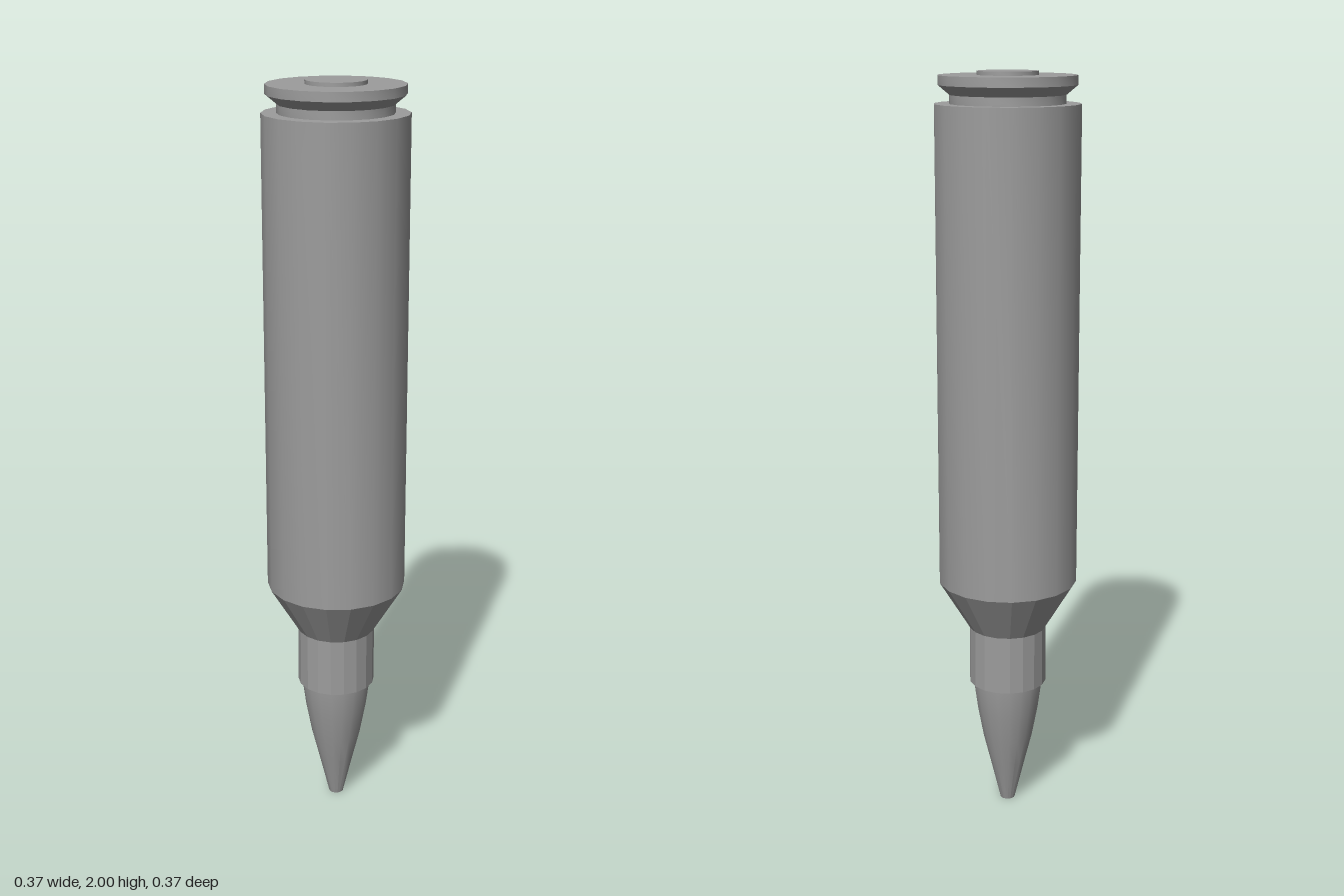
import * as THREE from 'three';
import { toCreasedNormals } from 'three/addons/utils/BufferGeometryUtils.js';

const SIDES = 18;
const smooth = new THREE.MeshStandardMaterial({ color: 0x9c9c9c });
const faceted = new THREE.MeshStandardMaterial({ color: 0x9c9c9c, flatShading: true });

// Revolve a bottom-to-top [radius, y] profile, with a corner on the x axis
function turned(name, material, profile) {
  const points = profile.map(([r, y]) => new THREE.Vector2(r, y));
  const lathe = new THREE.LatheGeometry(points, SIDES, Math.PI / 2);
  const mesh = new THREE.Mesh(toCreasedNormals(lathe, 0.5), material);
  mesh.name = name;
  return mesh;
}

export function createModel() {
  const group = new THREE.Group();
  group.name = 'cartridge';

  // Curved projectile with a small flat tip, pointing down
  group.add(turned('projectile', smooth, [
    [0, 0], [0.02, 0], [0.048, 0.115], [0.068, 0.195], [0.084, 0.28], [0.095, 0.361], [0.095, 0.40],
  ]));

  // Neck and sloping shoulder
  group.add(turned('neck', faceted, [
    [0.09, 0.361], [0.105, 0.361], [0.105, 0.521], [0.187, 0.656],
  ]));

  // Straight body, closed towards the groove
  group.add(turned('body', smooth, [[0.187, 0.656], [0.187, 1.92], [0.14, 1.92]]));

  // Extraction groove flaring out to the rim
  group.add(turned('rim', smooth, [
    [0.148, 1.92], [0.148, 1.942], [0.177, 1.966], [0.177, 1.99], [0, 1.99],
  ]));

  // Raised disc in the middle of the base
  group.add(turned('primer', smooth, [[0.078, 1.985], [0.078, 2], [0, 2]]));

  return group;
}
